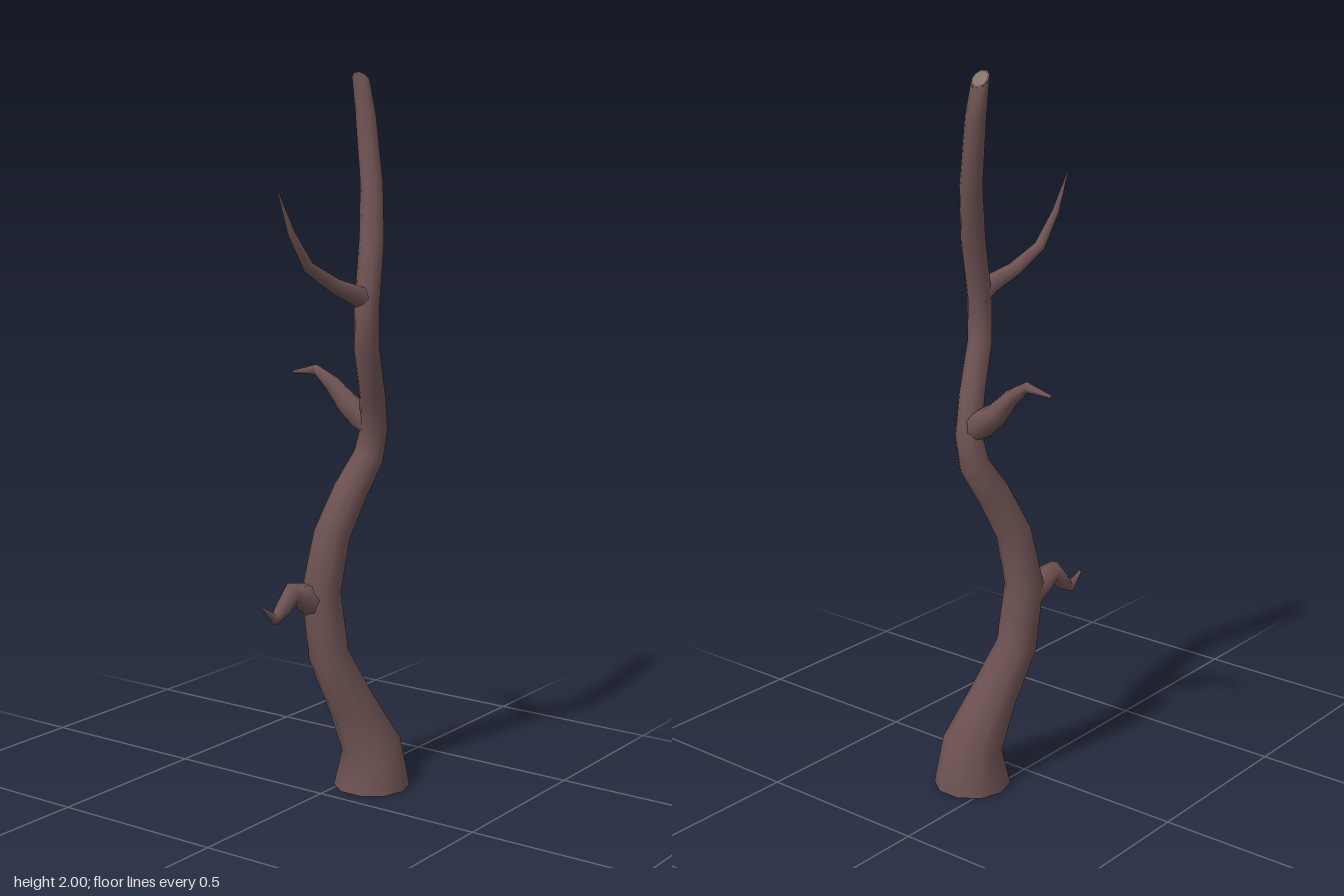
import * as THREE from 'three';

const bark = new THREE.MeshStandardMaterial({ color: 0x6e5252 });
const wood = new THREE.MeshStandardMaterial({ color: 0x85766a });
const V = (x, y, z) => new THREE.Vector3(x, y, z);

// Skin of rings along stations [x, y, z, radius]; optional fixed normals for the end rings
function limb(stations, sides, startNormal, endNormal) {
  const pts = stations.map(s => V(s[0], s[1], s[2]));
  const last = pts.length - 1;
  const positions = [], index = [], rings = [];
  let u = null;
  pts.forEach((p, i) => {
    let t = pts[Math.min(i + 1, last)].clone().sub(pts[Math.max(i - 1, 0)]).normalize();
    if (i === 0 && startNormal) t = startNormal.clone().normalize();
    if (i === last && endNormal) t = endNormal.clone().normalize();
    // carry the previous ring's direction along so the skin does not twist
    if (!u) u = Math.abs(t.z) < 0.8 ? V(0, 0, 1) : V(1, 0, 0);
    u = u.clone().addScaledVector(t, -u.dot(t)).normalize();
    const w = t.clone().cross(u);
    const ring = [];
    for (let k = 0; k < sides; k++) {
      const a = (k / sides) * Math.PI * 2;
      const q = p.clone()
        .addScaledVector(u, Math.cos(a) * stations[i][3])
        .addScaledVector(w, Math.sin(a) * stations[i][3]);
      ring.push(q);
      positions.push(q.x, q.y, q.z);
      if (i < last) {
        const k2 = (k + 1) % sides;
        const a0 = i * sides + k, b0 = i * sides + k2;
        index.push(a0, b0, b0 + sides, a0, b0 + sides, a0 + sides);
      }
    }
    rings.push(ring);
  });
  const geometry = new THREE.BufferGeometry();
  geometry.setAttribute('position', new THREE.Float32BufferAttribute(positions, 3));
  geometry.setIndex(index);
  geometry.computeVertexNormals();
  return { geometry, first: rings[0], end: rings[last] };
}

// Flat fan closing a ring
function cap(ring, flip) {
  const positions = [], index = [];
  ring.forEach((q, k) => {
    positions.push(q.x, q.y, q.z);
    if (k > 1) index.push(0, ...(flip ? [k, k - 1] : [k - 1, k]));
  });
  const geometry = new THREE.BufferGeometry();
  geometry.setAttribute('position', new THREE.Float32BufferAttribute(positions, 3));
  geometry.setIndex(index);
  geometry.computeVertexNormals();
  return geometry;
}

export function createModel() {
  const group = new THREE.Group();
  const add = (name, geometry, material = bark) => {
    const mesh = new THREE.Mesh(geometry, material);
    mesh.name = name;
    group.add(mesh);
  };

  // Winding trunk, flared at the foot
  const trunk = limb([
    [0.15, 0, 0.07, 0.108],
    [0.15, 0.12, 0.068, 0.085],
    [0.085, 0.25, 0.045, 0.067],
    [0.03, 0.4, 0.005, 0.057],
    [0.012, 0.58, -0.008, 0.055],
    [0.04, 0.74, 0.008, 0.051],
    [0.095, 0.86, 0.033, 0.048],
    [0.147, 0.95, 0.056, 0.043],
    [0.15, 1.03, 0.072, 0.038],
    [0.115, 1.13, 0.09, 0.036],
    [0.05, 1.26, 0.116, 0.035],
    [0.037, 1.38, 0.125, 0.034],
    [0.085, 1.55, 0.106, 0.034],
    [0.122, 1.7, 0.08, 0.031],
    [0.141, 1.88, 0.047, 0.028],
    [0.133, 1.977, 0.037, 0.028],
  ], 10, V(0, 1, 0), V(0.78, 0.62, 0));
  add('trunk', trunk.geometry);
  add('trunkFoot', cap(trunk.first, true));

  // Slanted cut at the top: rim of bark around bare wood
  const rim = limb([[0.133, 1.977, 0.037, 0.028], [0.134, 1.978, 0.037, 0.022]], 10,
    V(0.78, 0.62, 0), V(0.78, 0.62, 0));
  add('cutRim', rim.geometry);
  add('cutWood', cap(rim.end, false), wood);

  // Side branches, each tapering to a point
  const branches = {
    upperBranch: [
      [0.05, 1.385, 0.12, 0.03],
      [0.005, 1.412, 0.114, 0.028],
      [-0.07, 1.442, 0.093, 0.021],
      [-0.16, 1.495, 0.075, 0.016],
      [-0.215, 1.585, 0.062, 0.01],
      [-0.257, 1.69, 0.053, 0.002],
    ],
    backBranch: [
      [0.145, 1.03, 0.075, 0.03],
      [0.14, 1.065, 0.035, 0.04],
      [0.132, 1.1, -0.01, 0.032],
      [0.122, 1.15, -0.052, 0.023],
      [0.114, 1.185, -0.1, 0.015],
      [0.113, 1.172, -0.18, 0.004],
    ],
    lowerBranch: [
      [0.0, 0.55, -0.015, 0.045],
      [-0.045, 0.577, -0.026, 0.038],
      [-0.085, 0.595, -0.036, 0.029],
      [-0.117, 0.555, -0.042, 0.024],
      [-0.15, 0.53, -0.047, 0.015],
      [-0.19, 0.567, -0.052, 0.004],
    ],
  };
  for (const [name, stations] of Object.entries(branches)) {
    const branch = limb(stations, 7);
    add(name, branch.geometry);
    add(name + 'Tip', cap(branch.end, false));
  }
  return group;
}
